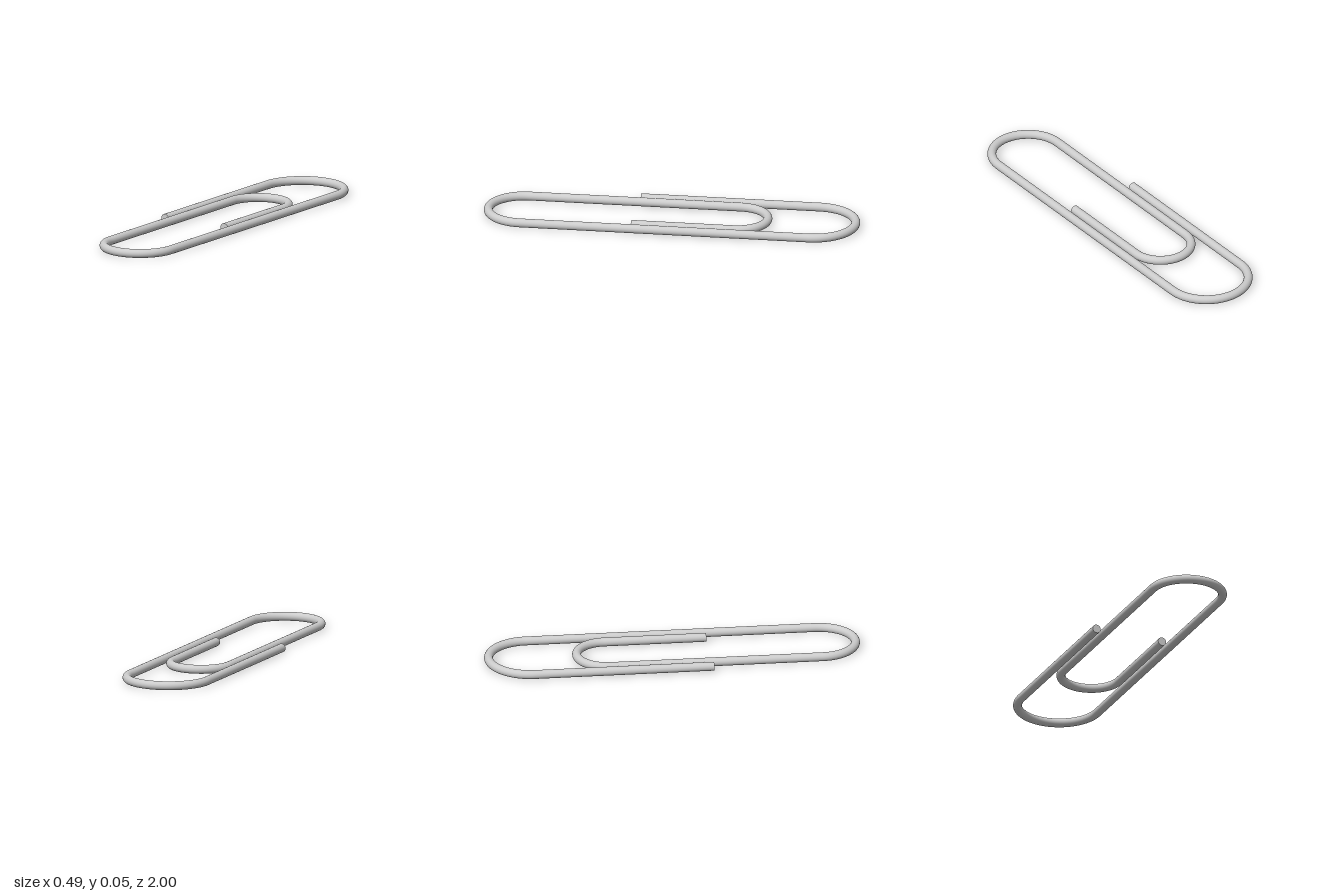
import * as THREE from 'three';

const R = 0.0233;      // wire radius
const SIDES = 32;      // wire roundness

export function createModel() {
  const group = new THREE.Group();
  const material = new THREE.MeshStandardMaterial({ color: 0xcccccc });

  const add = (name, geometry, x, z) => {
    const mesh = new THREE.Mesh(geometry, material);
    mesh.name = name;
    mesh.position.set(x, R, z);
    group.add(mesh);
  };

  // Straight run of wire along z
  const leg = (name, x, z0, z1) => add(name,
    new THREE.CylinderGeometry(R, R, z1 - z0, SIDES, 1, true).rotateX(Math.PI / 2),
    x, (z0 + z1) / 2);

  // Half-circle bend joining two legs; dir is -1 towards the back, 1 towards the front
  const bend = (name, x0, x1, z, dir) => add(name,
    new THREE.TorusGeometry((x1 - x0) / 2, R, SIDES, 48, Math.PI).rotateX(dir * Math.PI / 2),
    (x0 + x1) / 2, z);

  // Centre lines of the four legs
  const outerLeft = 0.221, outerRight = -0.221, innerRight = -0.163, innerLeft = 0.16;
  // Bend centres and the cut ends of the wire
  const backZ = -0.756, frontZ = 0.785, innerZ = -0.347, endZ = 0.197;

  leg('outerFreeLeg', outerRight, backZ, endZ);
  bend('backBend', outerRight, outerLeft, backZ, -1);
  leg('outerLongLeg', outerLeft, backZ, frontZ);
  bend('frontBend', innerRight, outerLeft, frontZ, 1);
  leg('innerLongLeg', innerRight, innerZ, frontZ);
  bend('innerBend', innerRight, innerLeft, innerZ, -1);
  leg('innerFreeLeg', innerLeft, innerZ, endZ);

  // Flat cut ends
  add('outerWireEnd', new THREE.CircleGeometry(R, SIDES), outerRight, endZ);
  add('innerWireEnd', new THREE.CircleGeometry(R, SIDES), innerLeft, endZ);

  return group;
}
